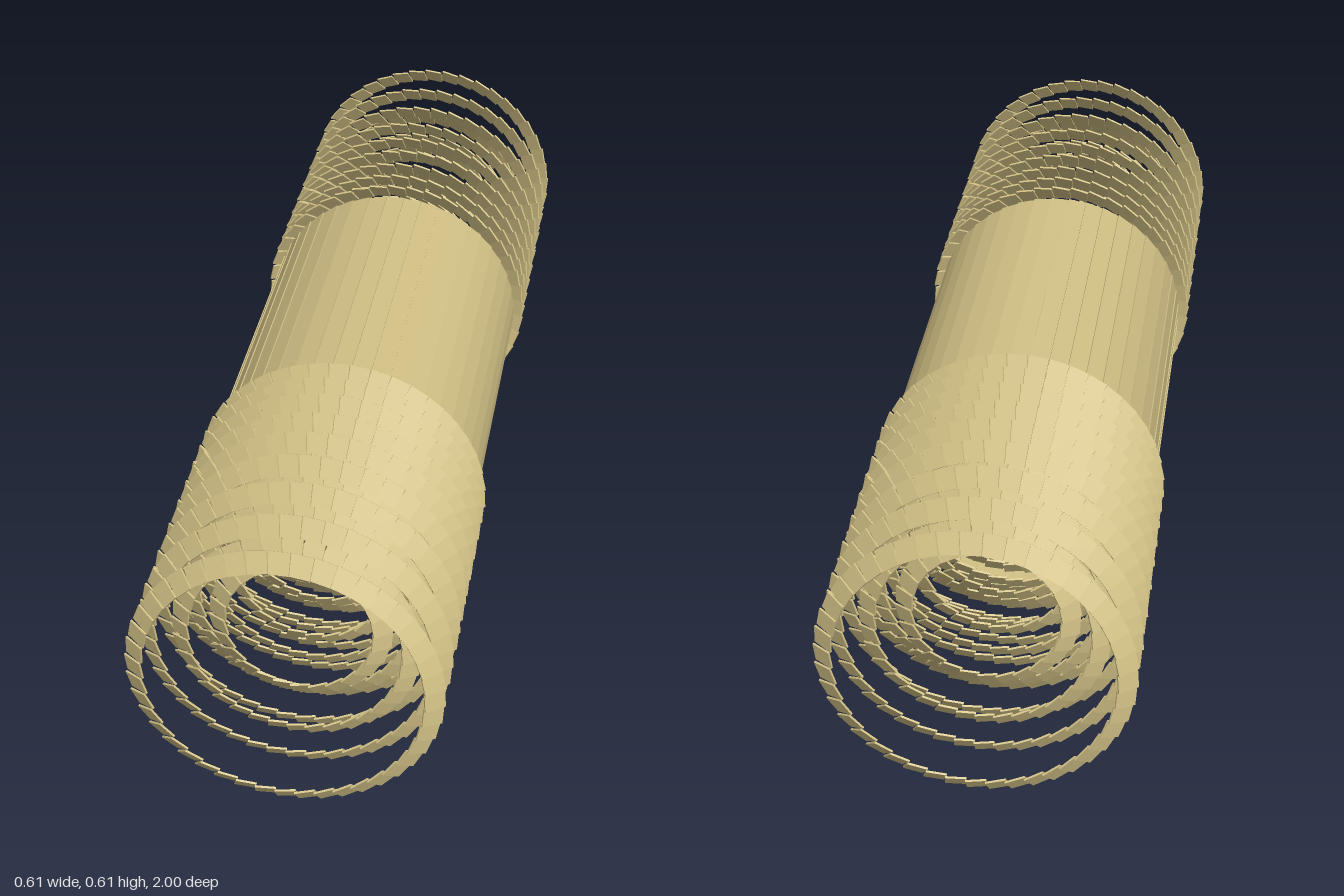
import * as THREE from 'three';
import { mergeGeometries } from 'three/addons/utils/BufferGeometryUtils.js';

const CENTRE_Y = 0.302;

// Nested layers: mean radius, plates per ring, ring positions along the axis
const LAYERS = [
  { name: 'outer', radius: 0.283, count: 44, rings: [0.984, 0.877, 0.778, 0.692, 0.617, 0.552, 0.488, 0.431, 0.38] },
  { name: 'middle', radius: 0.223, count: 36, rings: [0.865, 0.755, 0.66, 0.575, 0.5, 0.435, 0.38] },
  { name: 'inner', radius: 0.16, count: 26, rings: [0.82, 0.67, 0.557, 0.465, 0.39] },
];

// Thin plates set round the z axis, leaning outward by tilt and lapped by twist
function plateRing({ radius, count, length, tilt, twist, thickness = 0.004 }) {
  const width = (2 * Math.PI * radius) / count;
  const plates = [];
  for (let i = 0; i < count; i++) {
    const plate = new THREE.BoxGeometry(width, length, thickness);
    plate.rotateY(-twist);
    plate.rotateX(-tilt);
    plate.translate(0, radius, 0);
    plate.rotateZ((i / count) * Math.PI * 2);
    plates.push(plate);
  }
  return mergeGeometries(plates);
}

export function createModel() {
  const model = new THREE.Group();
  model.name = 'segmentedTube';
  const material = new THREE.MeshStandardMaterial({ color: 0xd2c186 });

  function add(parent, name, geometry, z = 0) {
    const mesh = new THREE.Mesh(geometry, material);
    mesh.name = name;
    mesh.position.z = z;
    parent.add(mesh);
  }

  const front = new THREE.Group();
  front.name = 'frontRings';

  for (const { name, radius, count, rings } of LAYERS) {
    // Long staves form the middle drum
    const staves = plateRing({ radius: radius - 0.005, count, length: 0.71, tilt: Math.PI / 2, twist: 0.06 });
    add(model, `${name}Drum`, staves);

    // Conical rings of lapped plates, closer together near the drum
    const ring = plateRing({ radius, count, length: 0.042, tilt: 0.6, twist: 0.14 });
    rings.forEach((z, i) => add(front, `${name}Ring${i + 1}`, ring, z));
  }

  // The back end repeats the front, turned about
  const back = front.clone();
  back.name = 'backRings';
  back.rotation.y = Math.PI;
  model.add(front, back);

  for (const part of model.children) part.position.y = CENTRE_Y;
  return model;
}
